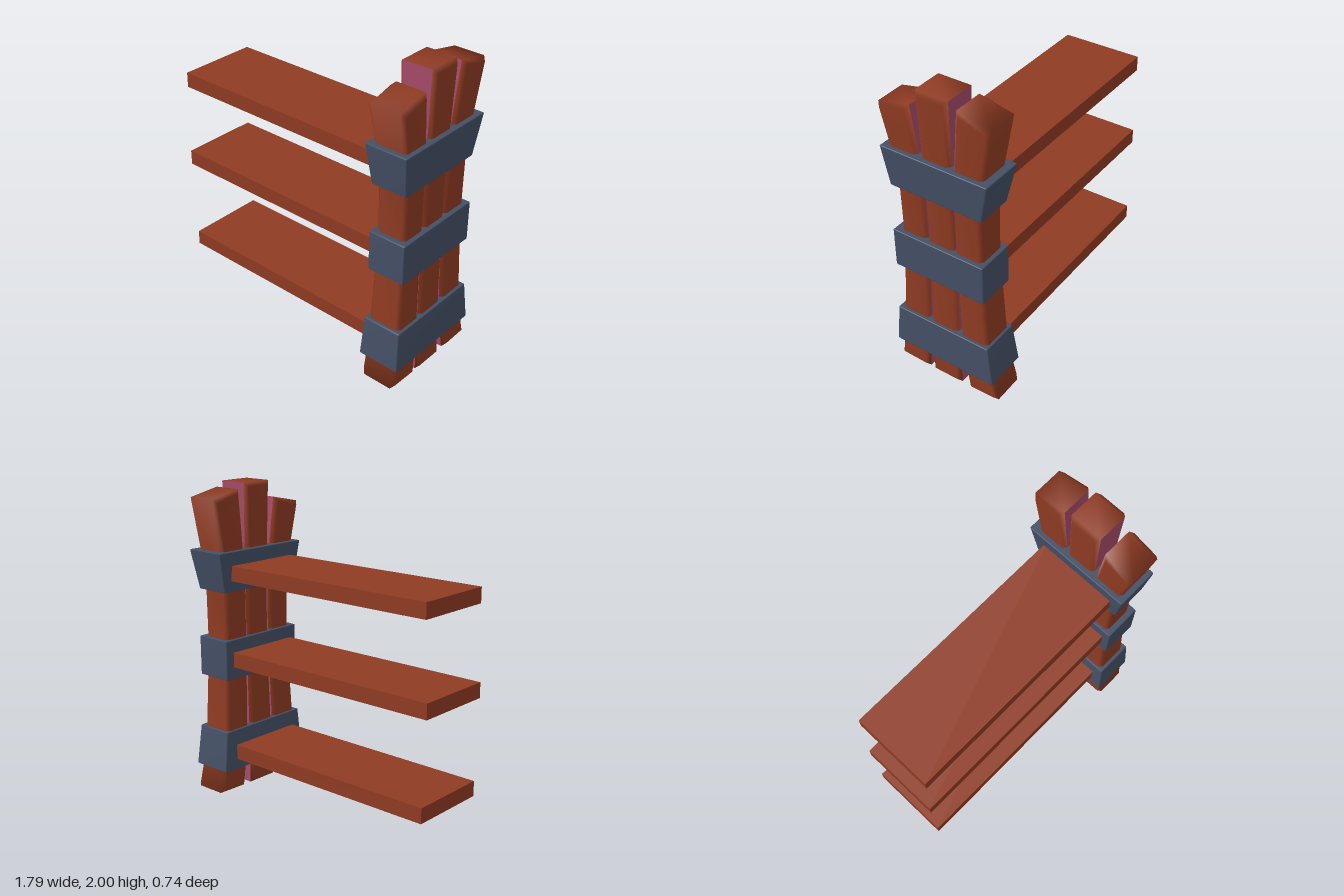
import * as THREE from 'three';
import { mergeVertices } from 'three/addons/utils/BufferGeometryUtils.js';
import { RoundedBoxGeometry } from 'three/addons/geometries/RoundedBoxGeometry.js';

const material = (name, color) => {
  const m = new THREE.MeshStandardMaterial({ color });
  m.name = name;
  return m;
};

const POST_X = 0.75;
const BEVEL = 0.023;

// Half width in x at each of the five rings of a post
const HALF_WIDTHS = [0.12, 0.113, 0.1, 0.103, 0.12];

// Each ring: [back z, front z, y at back, y at front]
const POSTS = [
  { name: 'frontPost', painted: [5], rings: [
    [0.143, 0.36, 0, 0.005], [0.125, 0.325, 0.28, 0.28], [0.11, 0.288, 0.95, 0.95],
    [0.11, 0.292, 1.42, 1.42], [0.16, 0.373, 1.89, 1.845]] },
  { name: 'middlePost', painted: [1, 5], rings: [
    [-0.1, 0.113, 0, 0], [-0.09, 0.11, 0.28, 0.28], [-0.086, 0.1, 0.95, 0.95],
    [-0.087, 0.104, 1.42, 1.42], [-0.1, 0.114, 2, 2]] },
  { name: 'backPost', painted: [1], rings: [
    [-0.37, -0.16, 0.005, 0], [-0.312, -0.113, 0.28, 0.28], [-0.276, -0.09, 0.95, 0.95],
    [-0.278, -0.09, 1.42, 1.42], [-0.365, -0.148, 1.92, 1.965]] },
];

// Bands: y range, then [x0, x1, z0, z1] at the bottom and at the top
const BANDS = [
  { name: 'lowerBand', y: [0.15, 0.415], bottom: [0.61, 0.89, -0.355, 0.36], top: [0.625, 0.88, -0.32, 0.34] },
  { name: 'middleBand', y: [0.76, 1.02], bottom: [0.63, 0.88, -0.303, 0.326], top: [0.63, 0.88, -0.303, 0.326] },
  { name: 'upperBand', y: [1.33, 1.59], bottom: [0.635, 0.87, -0.298, 0.322], top: [0.61, 0.89, -0.355, 0.36] },
];

// Shelves: [bottom y, outer x, back z]
const SHELVES = [
  ['lowerShelf', 0.218, -0.88, -0.247],
  ['middleShelf', 0.84, -0.897, -0.242],
  ['upperShelf', 1.403, -0.88, -0.247],
];

function buildGeometry(positions, index) {
  const g = new THREE.BufferGeometry();
  g.setAttribute('position', new THREE.Float32BufferAttribute(positions, 3));
  g.setIndex(index);
  g.computeVertexNormals();
  return g;
}

// Bevelled beam lofted through eight-sided rings, with its painted sides kept apart
function createPost({ name, rings, painted }, wood, paint) {
  const positions = [], woodIndex = [], paintIndex = [];
  const last = rings.length - 1;
  const quad = (list, a, b, c, d) => list.push(a, b, c, a, c, d);

  rings.forEach(([z0, z1, y0, y1], i) => {
    const h = HALF_WIDTHS[i], b = BEVEL;
    const drop = i === 0 ? b : i === last ? -b : 0;
    const outline = [
      [h, z1 - b, y1 + drop], [h - b, z1, y1], [b - h, z1, y1], [-h, z1 - b, y1 + drop],
      [-h, z0 + b, y0 + drop], [b - h, z0, y0], [h - b, z0, y0], [h, z0 + b, y0 + drop],
    ];
    for (const [x, z, y] of outline) positions.push(POST_X + x, y, z);
  });

  for (let i = 0; i < last; i++) {
    for (let j = 0; j < 8; j++) {
      const a = i * 8 + j, b = i * 8 + (j + 1) % 8;
      quad(painted.includes(j) ? paintIndex : woodIndex, a, a + 8, b + 8, b);
    }
  }
  // End caps with bevels toward the sides
  for (const [a, b, c, d] of [[1, 2, 5, 6], [0, 1, 6, 7], [2, 3, 4, 5]]) {
    const t = last * 8;
    quad(woodIndex, a, b, c, d);
    quad(woodIndex, t + d, t + c, t + b, t + a);
  }

  const post = new THREE.Group();
  post.name = name;
  const beam = new THREE.Mesh(buildGeometry(positions, woodIndex), wood);
  beam.name = name + 'Beam';
  const inner = new THREE.Mesh(buildGeometry(positions, paintIndex), paint);
  inner.name = name + 'InnerFaces';
  post.add(beam, inner);
  return post;
}

// Thinly bevelled block tapered between a bottom and a top rectangle
function createBand({ name, y, bottom, top }, mat) {
  let g = new RoundedBoxGeometry(1, 1, 1, 1, 0.02);
  g.deleteAttribute('normal');
  g.deleteAttribute('uv');
  g = mergeVertices(g, 1e-4);
  const p = g.attributes.position;
  for (let i = 0; i < p.count; i++) {
    const u = p.getX(i) + 0.5, t = p.getY(i) + 0.5, w = p.getZ(i) + 0.5;
    const [x0, x1, z0, z1] = bottom.map((v, k) => THREE.MathUtils.lerp(v, top[k], t));
    p.setXYZ(i, THREE.MathUtils.lerp(x0, x1, u), THREE.MathUtils.lerp(y[0], y[1], t),
      THREE.MathUtils.lerp(z0, z1, w));
  }
  g.computeVertexNormals();
  const mesh = new THREE.Mesh(g, mat);
  mesh.name = name;
  return mesh;
}

export function createModel() {
  const wood = material('reddish wood', 0x8f3b22);
  const iron = material('slate iron', 0x455066);
  const paint = material('dusty pink', 0xa64b6a);

  const model = new THREE.Group();
  model.name = 'postWithShelves';

  for (const post of POSTS) model.add(createPost(post, wood, paint));
  for (const band of BANDS) model.add(createBand(band, iron));

  // Plank shelves running out from the bands
  const innerX = 0.66, frontZ = 0.276, thickness = 0.097;
  for (const [name, y, x, z] of SHELVES) {
    const shelf = new THREE.Mesh(new THREE.BoxGeometry(innerX - x, thickness, frontZ - z), wood);
    shelf.position.set((innerX + x) / 2, y + thickness / 2, (frontZ + z) / 2);
    shelf.name = name;
    model.add(shelf);
  }
  return model;
}
